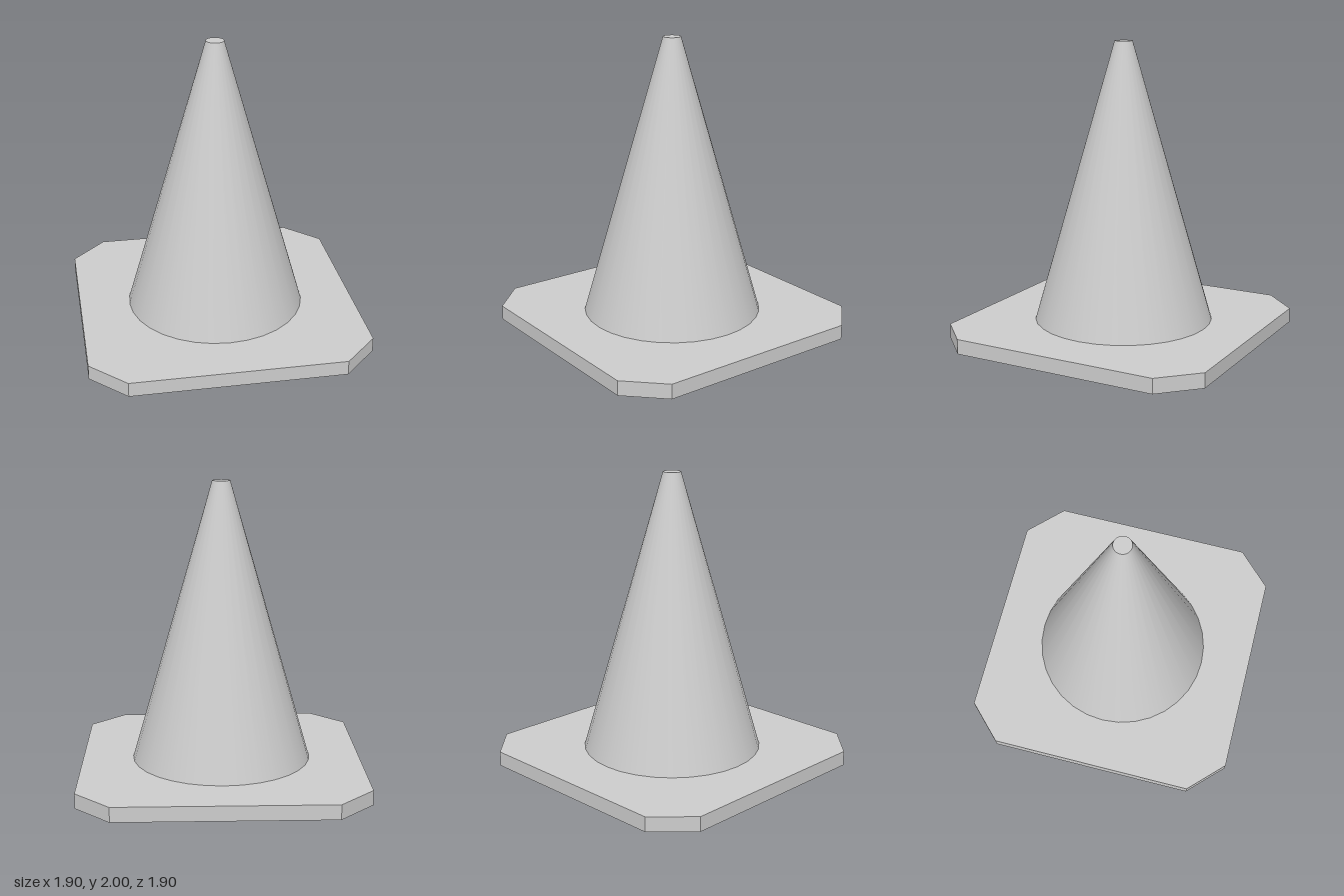
import * as THREE from 'three';

export function createModel() {
  const group = new THREE.Group();
  const grey = new THREE.MeshStandardMaterial({ color: 0xcccccc });
  grey.name = 'light grey';

  const half = 0.95;      // half width of the base plate
  const corner = 0.715;   // where the cut corners begin
  const thickness = 0.1;
  const height = 2;

  // Square base plate with cut corners
  const outline = new THREE.Shape([
    [corner, -half], [half, -corner], [half, corner], [corner, half],
    [-corner, half], [-half, corner], [-half, -corner], [-corner, -half],
  ].map(([x, y]) => new THREE.Vector2(x, y)));
  const plate = new THREE.ExtrudeGeometry(outline, { depth: thickness, bevelEnabled: false });
  plate.rotateX(-Math.PI / 2);
  const base = new THREE.Mesh(plate, grey);
  base.name = 'basePlate';
  group.add(base);

  // Tapered cone with a flat tip
  const cone = new THREE.Mesh(
    new THREE.CylinderGeometry(0.06, 0.607, height - thickness, 32), grey);
  cone.position.y = (height + thickness) / 2;
  cone.name = 'cone';
  group.add(cone);

  return group;
}
